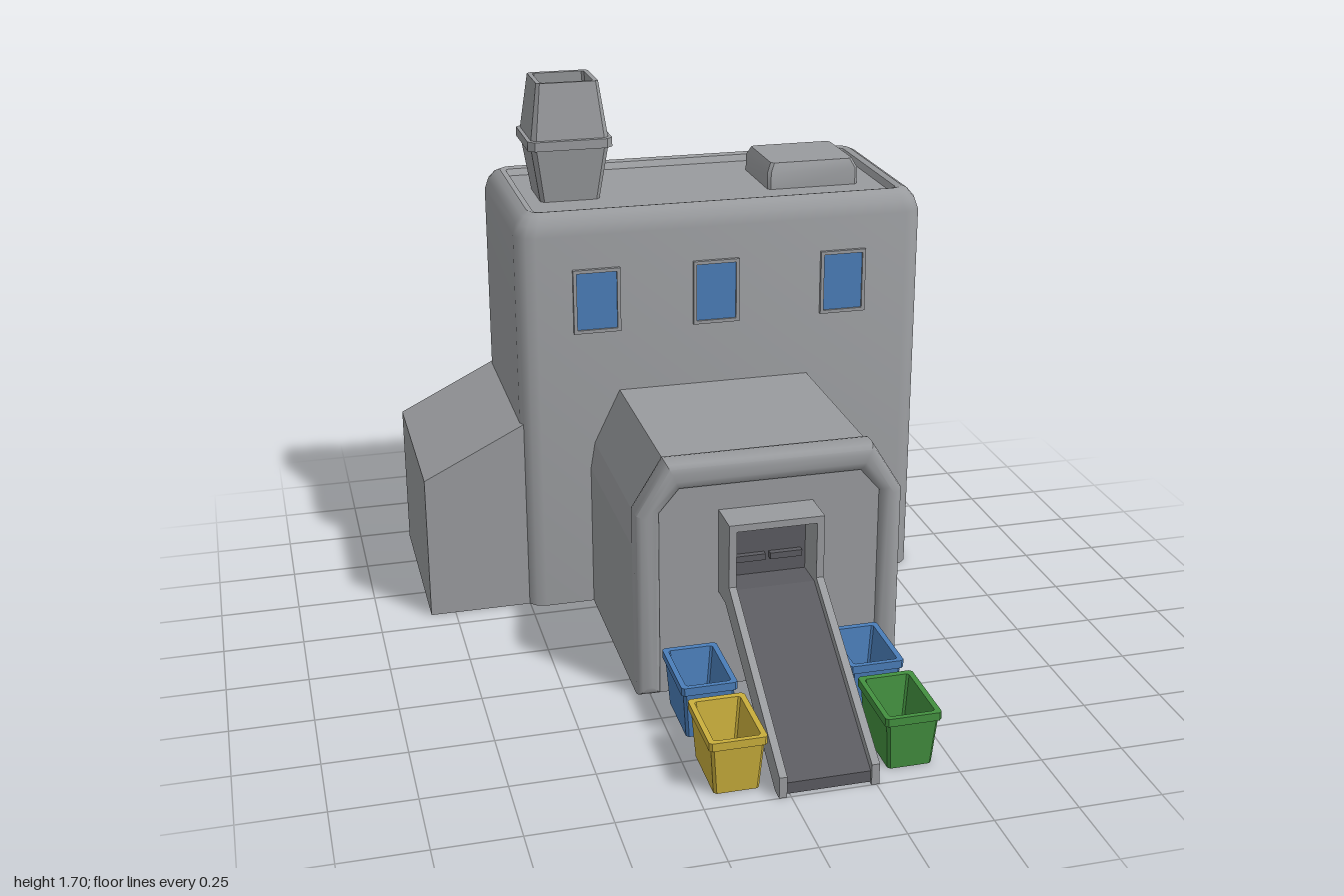
import * as THREE from 'three';
import { toCreasedNormals } from 'three/addons/utils/BufferGeometryUtils.js';

const mat = (name, color) => new THREE.MeshStandardMaterial({ name, color });

export function createModel() {
  const root = new THREE.Group();
  root.name = 'recyclingPlant';
  const grey = mat('wallGrey', 0x999b9e);
  const dark = mat('darkMetal', 0x5b5b60);
  const blue = mat('blue', 0x4a7db8);
  const yellow = mat('yellow', 0xc9ae3c);
  const green = mat('green', 0x43903f);

  const add = (name, geo, material, parent = root) => {
    const m = new THREE.Mesh(geo, material);
    m.name = name;
    parent.add(m);
    return m;
  };
  const box = (name, x0, x1, y0, y1, z0, z1, material, parent) =>
    add(name, new THREE.BoxGeometry(x1 - x0, y1 - y0, z1 - z0)
      .translate((x0 + x1) / 2, (y0 + y1) / 2, (z0 + z1) / 2), material, parent);
  const shape = (pts) => new THREE.Shape(pts.map(([x, y]) => new THREE.Vector2(x, y)));
  const extrude = (pts, depth, opts = {}) =>
    new THREE.ExtrudeGeometry(shape(pts), { depth, bevelEnabled: false, ...opts });

  // Stack of rounded rectangles, each [y, half width x, half depth z, corner radius]
  function loft(sections, steps = 2) {
    const pos = [], idx = [], n = 4 * (steps + 1);
    for (const [y, hx, hz, r] of sections) {
      [[1, 1], [-1, 1], [-1, -1], [1, -1]].forEach(([sx, sz], c) => {
        for (let k = 0; k <= steps; k++) {
          const a = (c + k / steps) * Math.PI / 2;
          pos.push(sx * (hx - r) + r * Math.cos(a), y, sz * (hz - r) + r * Math.sin(a));
        }
      });
    }
    const last = sections.length - 1;
    for (let s = 0; s < last; s++) {
      for (let i = 0; i < n; i++) {
        const a = s * n + i, b = s * n + (i + 1) % n;
        idx.push(a, a + n, b, b, a + n, b + n);
      }
    }
    pos.push(0, sections[0][0], 0, 0, sections[last][0], 0);
    const c0 = n * (last + 1);
    for (let i = 0; i < n; i++) {
      const j = (i + 1) % n;
      idx.push(c0, i, j, c0 + 1, last * n + j, last * n + i);
    }
    const g = new THREE.BufferGeometry();
    g.setAttribute('position', new THREE.Float32BufferAttribute(pos, 3));
    g.setIndex(idx);
    return toCreasedNormals(g, 0.65);
  }

  // Tall hall with a rounded rim around its slightly sunken roof
  add('mainHall', loft([
    [0, 0.67, 0.35, 0.06], [1.27, 0.67, 0.35, 0.06], [1.305, 0.66, 0.34, 0.06],
    [1.33, 0.64, 0.32, 0.05], [1.34, 0.62, 0.30, 0.04], [1.335, 0.60, 0.28, 0.02],
    [1.315, 0.59, 0.265, 0.01],
  ], 3), grey).position.set(0.16, 0, -0.65);

  // Lean-to on the right end
  add('sideAnnex', extrude([[-0.83, 0], [-0.48, 0], [-0.48, 0.655], [-0.83, 0.48]], 0.63)
    .translate(0, 0, -0.96), grey);

  // Roof hatch
  add('roofHatch', loft([
    [1.3, 0.155, 0.14, 0.01], [1.37, 0.155, 0.14, 0.01], [1.4, 0.14, 0.125, 0.01],
  ], 1), grey).position.set(0.522, 0, -0.66);

  // Hollow chimney
  add('chimney', loft([
    [1.3, 0.095, 0.095, 0.012], [1.49, 0.125, 0.118, 0.015], [1.49, 0.137, 0.13, 0.02],
    [1.52, 0.137, 0.13, 0.02], [1.521, 0.125, 0.118, 0.015], [1.7, 0.1, 0.092, 0.01],
    [1.699, 0.085, 0.077, 0.008], [1.5, 0.1, 0.095, 0.008],
  ], 1), grey).position.set(-0.288, 0, -0.647);

  // Front bay: body, arched rim and front panel
  add('entranceBody', extrude([
    [-0.29, 0], [0.54, 0], [0.54, 0.48], [0.525, 0.57], [0.44, 0.745],
    [-0.19, 0.745], [-0.275, 0.57], [-0.29, 0.48],
  ], 0.64).translate(0, 0, -0.32), grey);
  add('entranceRim', toCreasedNormals(extrude([
    [-0.29, 0], [-0.215, 0], [-0.215, 0.60], [-0.155, 0.67], [0.405, 0.67], [0.465, 0.60],
    [0.465, 0], [0.54, 0], [0.54, 0.60], [0.445, 0.755], [-0.195, 0.755], [-0.29, 0.60],
  ], 0.04, {
    bevelEnabled: true, bevelSize: 0.03, bevelThickness: 0.03, bevelOffset: -0.03, bevelSegments: 3,
  }), 0.65).translate(0, 0, 0.3), grey);
  add('entrancePanel', extrude([
    [-0.25, 0], [0.5, 0], [0.5, 0.6], [0.42, 0.7], [-0.17, 0.7], [-0.25, 0.6],
  ], 0.04).translate(0, 0, 0.31), grey);

  // Chute: two cheeks with rails, hood, bed and dark mouth
  const chute = new THREE.Group();
  chute.name = 'chute';
  root.add(chute);
  const alongX = (pts, x0, x1) =>
    extrude(pts, x1 - x0).rotateY(-Math.PI / 2).translate(x1, 0, 0);
  const cheek = [[0.34, 0.32], [0.43, 0.32], [0.96, 0], [1, 0], [1, 0.065],
    [0.47, 0.39], [0.47, 0.59], [0.34, 0.59]];
  add('chuteCheekRight', alongX(cheek, -0.035, -0.012), grey, chute);
  add('chuteCheekLeft', alongX(cheek, 0.235, 0.258), grey, chute);
  box('chuteHood', -0.012, 0.235, 0.568, 0.59, 0.34, 0.47, grey, chute);
  add('chuteBed', alongX([[0.34, 0.33], [0.435, 0.33], [0.97, 0.005], [0.99, 0.005],
    [0.99, 0.04], [0.45, 0.37], [0.34, 0.37]], -0.012, 0.235), dark, chute);
  box('chuteMouth', -0.012, 0.235, 0.36, 0.57, 0.35, 0.356, dark, chute);
  for (const x of [0.005, 0.12]) box('mouthFlap', x, x + 0.1, 0.42, 0.44, 0.35, 0.375, dark, chute);

  // Framed opening facing +z around its own centre
  function framed(name, w, h, border, fill) {
    const g = new THREE.Group();
    g.name = name;
    const s = shape([[-w / 2, -h / 2], [w / 2, -h / 2], [w / 2, h / 2], [-w / 2, h / 2]]);
    const a = w / 2 - border, b = h / 2 - border;
    s.holes.push(shape([[-a, -b], [-a, b], [a, b], [a, -b]]));
    add('frame', new THREE.ExtrudeGeometry(s, { depth: 0.012, bevelEnabled: false }), grey, g);
    box('pane', -a, a, -b, b, 0, 0.005, fill, g);
    root.add(g);
    return g;
  }
  // Windows on front, back and left end
  for (const x of [-0.26, 0.13, 0.556]) {
    framed('frontWindow', 0.152, 0.21, 0.011, blue).position.set(x, 1.055, -0.3);
    const back = framed('backWindow', 0.152, 0.21, 0.011, blue);
    back.position.set(x, 1.055, -1);
    back.rotation.y = Math.PI;
  }
  for (const z of [-0.465, -0.818]) {
    const w = framed('sideWindow', 0.15, 0.21, 0.011, blue);
    w.position.set(0.83, 1.055, z);
    w.rotation.y = Math.PI / 2;
  }
  // Side door, its threshold at ground level
  const door = framed('sideDoor', 0.29, 0.325, 0.016, dark);
  door.position.set(0.54, 0.1625, -0.007);
  door.rotation.y = Math.PI / 2;

  // Open tapered bins with a lip
  const bin = loft([
    [0, 0.066, 0.106, 0.008], [0.148, 0.077, 0.118, 0.008], [0.148, 0.084, 0.125, 0.008],
    [0.173, 0.084, 0.125, 0.008], [0.172, 0.068, 0.108, 0.006], [0.02, 0.05, 0.088, 0.006],
  ], 1);
  [['blueBinRight', -0.138, 0.518, blue], ['yellowBin', -0.138, 0.828, yellow],
    ['blueBinLeft', 0.374, 0.518, blue], ['greenBin', 0.374, 0.828, green],
  ].forEach(([name, x, z, m]) => add(name, bin, m).position.set(x, 0, z));

  return root;
}
